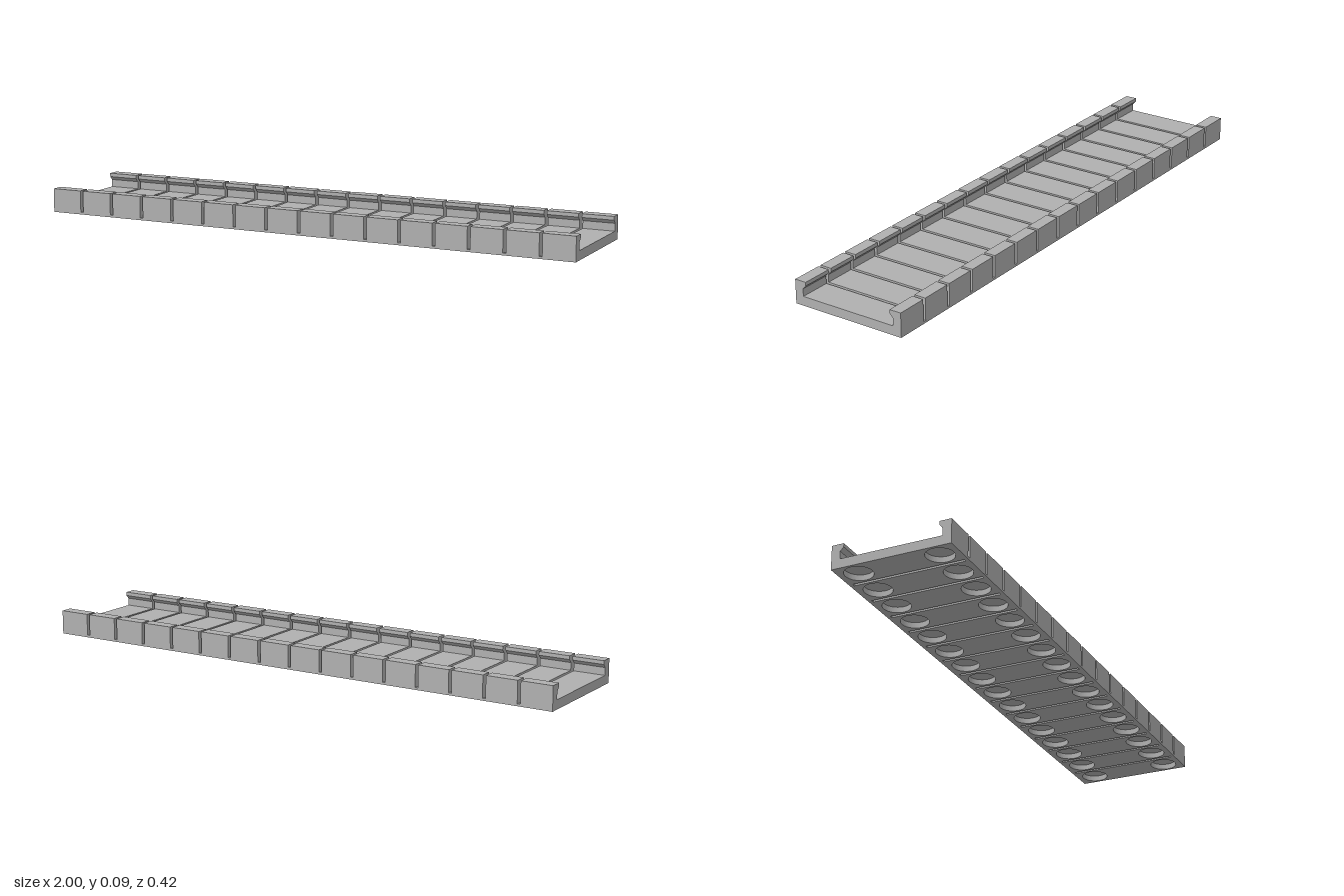
import * as THREE from 'three';

const COUNT = 16, GAP = 0.011;
const WIDTH = (2 - GAP * (COUNT - 1)) / COUNT;
const PITCH = WIDTH + GAP;
const HALF = 0.212;      // half depth in z
const RECESS = 0.02;     // depth of the round pockets underneath

// Channel cross-section with inward hooks, above the pocketed base
function channelGeometry() {
  const side = [
    [HALF, RECESS], [HALF, 0.086], [0.169, 0.086], [0.169, 0.073],
    [0.181, 0.06], [0.181, 0.033],
  ];
  const mirrored = side.map(([z, y]) => [-z, y]).reverse();
  const shape = new THREE.Shape([...side, ...mirrored].map(([z, y]) => new THREE.Vector2(z, y)));
  const geo = new THREE.ExtrudeGeometry(shape, { depth: WIDTH, bevelEnabled: false });
  geo.translate(0, 0, -WIDTH / 2);
  geo.rotateY(Math.PI / 2);
  return geo;
}

// Base plate with two round pockets
function baseGeometry() {
  const w = WIDTH / 2;
  const shape = new THREE.Shape([
    new THREE.Vector2(-w, -HALF), new THREE.Vector2(w, -HALF),
    new THREE.Vector2(w, HALF), new THREE.Vector2(-w, HALF),
  ]);
  for (const s of [-1, 1]) {
    const hole = new THREE.Path();
    hole.absarc(0, s * 0.144, 0.048, 0, Math.PI * 2, true);
    shape.holes.push(hole);
  }
  const geo = new THREE.ExtrudeGeometry(shape, { depth: RECESS, bevelEnabled: false, curveSegments: 32 });
  geo.rotateX(-Math.PI / 2);
  return geo;
}

export function createModel() {
  const model = new THREE.Group();
  model.name = 'segmentedChannel';
  const grey = new THREE.MeshStandardMaterial({ color: 0xb0b0b0 });
  grey.name = 'grey';

  const channel = channelGeometry();
  const base = baseGeometry();
  const link = new THREE.BoxGeometry(GAP, 0.008, 0.013);

  const add = (parent, geo, name, x = 0, y = 0, z = 0) => {
    const mesh = new THREE.Mesh(geo, grey);
    mesh.name = name;
    mesh.position.set(x, y, z);
    parent.add(mesh);
  };

  for (let i = 0; i < COUNT; i++) {
    const segment = new THREE.Group();
    segment.name = 'segment' + (i + 1);
    segment.position.x = -1 + WIDTH / 2 + i * PITCH;
    add(segment, channel, 'hookedChannel');
    add(segment, base, 'pocketedBase');

    // Thin flexible links to the next segment
    if (i < COUNT - 1) {
      for (const s of [-1, 1]) add(segment, link, 'link', PITCH / 2, 0.004, s * (HALF - 0.0065));
    }
    model.add(segment);
  }
  return model;
}
